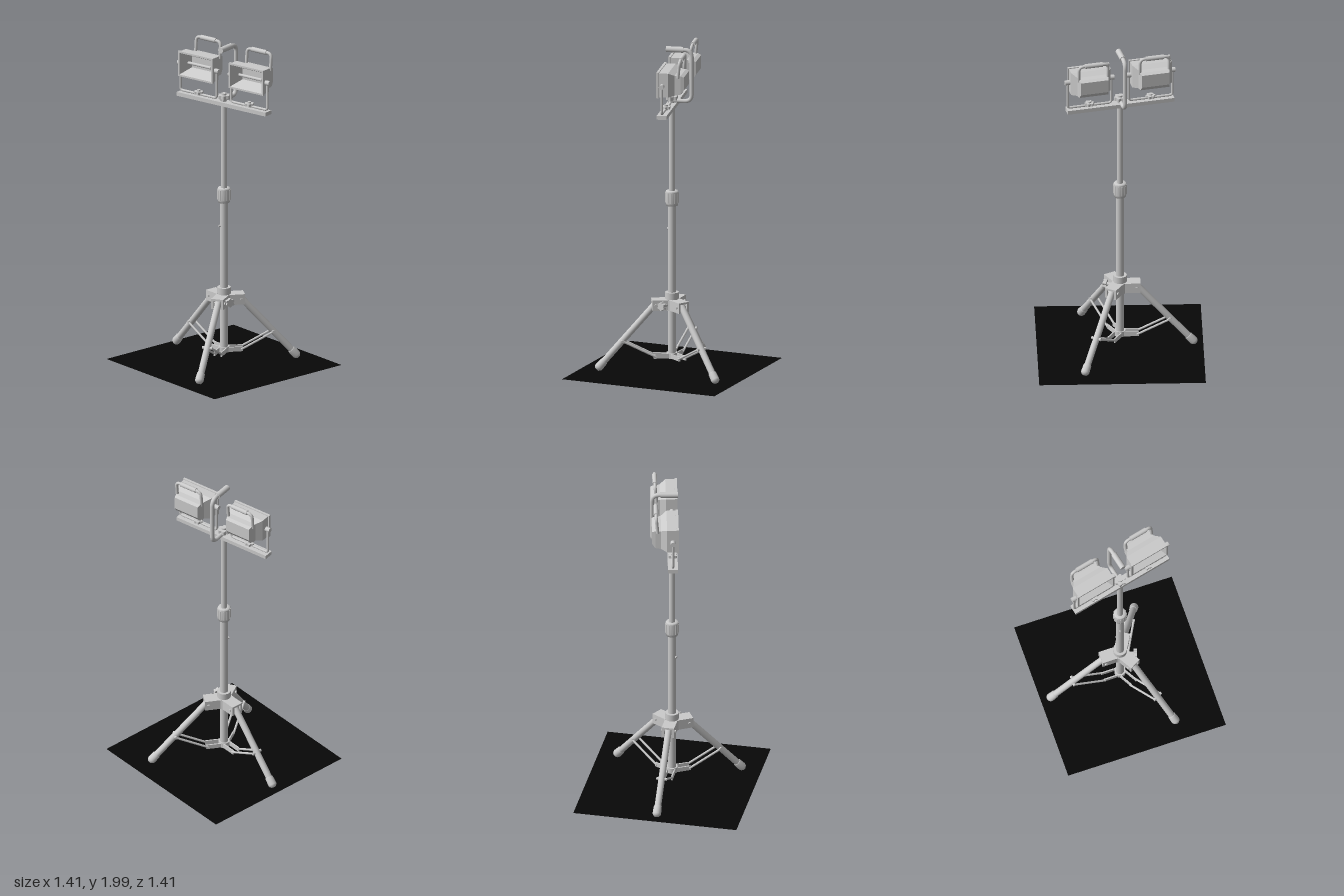
import * as THREE from 'three';

const grey = new THREE.MeshStandardMaterial({ color: 0xcccccc, side: THREE.DoubleSide });
const black = new THREE.MeshStandardMaterial({ color: 0x080808, side: THREE.DoubleSide });
const V = (x, y, z) => new THREE.Vector3(x, y, z);

function add(parent, name, geometry, x = 0, y = 0, z = 0, material = grey) {
  const mesh = new THREE.Mesh(geometry, material);
  mesh.name = name;
  mesh.position.set(x, y, z);
  parent.add(mesh);
  return mesh;
}

// Round rod between two points
function rod(parent, name, a, b, r, r2 = r, sides = 20) {
  const mesh = add(parent, name, new THREE.CylinderGeometry(r2, r, a.distanceTo(b), sides));
  mesh.position.copy(a).lerp(b, 0.5);
  mesh.quaternion.setFromUnitVectors(V(0, 1, 0), b.clone().sub(a).normalize());
  return mesh;
}

// Tube through points, with rounded corners
function bentTube(parent, name, pts, r, bend) {
  const path = new THREE.CurvePath();
  let last = pts[0];
  for (let i = 1; i < pts.length - 1; i++) {
    const p = pts[i];
    const a = p.clone().add(pts[i - 1].clone().sub(p).setLength(bend));
    const b = p.clone().add(pts[i + 1].clone().sub(p).setLength(bend));
    path.add(new THREE.LineCurve3(last, a));
    path.add(new THREE.QuadraticBezierCurve3(a, p, b));
    last = b;
  }
  path.add(new THREE.LineCurve3(last, pts[pts.length - 1]));
  return add(parent, name, new THREE.TubeGeometry(path, 72, r, 12));
}

// Flat-sided loft through rectangles given as [halfWidth, bottom, top, z]
function loft(sections) {
  const rings = sections.map(([w, b, t, z]) => [V(-w, b, z), V(w, b, z), V(w, t, z), V(-w, t, z)]);
  const tris = [];
  const quad = (a, b, c, d) => tris.push(a, b, c, a, c, d);
  for (let i = 0; i < rings.length - 1; i++)
    for (let j = 0; j < 4; j++) {
      const k = (j + 1) % 4;
      quad(rings[i][j], rings[i][k], rings[i + 1][k], rings[i + 1][j]);
    }
  quad(...[...rings[0]].reverse());
  quad(...rings[rings.length - 1]);
  const g = new THREE.BufferGeometry().setFromPoints(tris);
  g.computeVertexNormals();
  return g;
}

// Lobed hand knob, axis along y
function knobGeometry(r, h) {
  const s = new THREE.Shape();
  for (let i = 0; i < 48; i++) {
    const a = (i / 48) * Math.PI * 2, q = r * (0.87 + 0.13 * Math.cos(a * 6));
    i ? s.lineTo(q * Math.cos(a), q * Math.sin(a)) : s.moveTo(q, 0);
  }
  return new THREE.ExtrudeGeometry(s, { depth: h, bevelEnabled: false }).rotateX(-Math.PI / 2);
}

function makeLamp() {
  const lamp = new THREE.Group();
  lamp.name = 'floodlight';
  const head = new THREE.Group();
  head.name = 'lampHead';
  head.position.y = 1.838;
  lamp.add(head);
  // Housing with tapered rear and hollow reflector
  add(head, 'housing', loft([
    [0.085, -0.035, 0.045, -0.125], [0.09, -0.062, 0.054, -0.105], [0.093, -0.066, 0.056, -0.07],
    [0.122, -0.074, 0.074, -0.035], [0.122, -0.074, 0.074, 0.02], [0.128, -0.079, 0.079, 0.02],
    [0.128, -0.079, 0.079, 0.035], [0.117, -0.068, 0.068, 0.035], [0.08, -0.035, 0.035, -0.04]]));
  rod(head, 'bulb', V(-0.085, 0, -0.012), V(0.085, 0, -0.012), 0.009);
  // Carry handle with a thicker grip
  bentTube(head, 'lampHandle', [V(-0.09, 0.04, -0.09), V(-0.09, 0.144, -0.1), V(0.09, 0.144, -0.1), V(0.09, 0.04, -0.09)], 0.0095, 0.03);
  rod(head, 'lampGrip', V(-0.055, 0.144, -0.1), V(0.055, 0.144, -0.1), 0.0145);
  // Yoke, pivots and wing nut
  bentTube(lamp, 'yoke', [V(-0.135, 1.845, 0), V(-0.135, 1.662, 0), V(0.135, 1.662, 0), V(0.135, 1.845, 0)], 0.0075, 0.018);
  for (const s of [-1, 1]) rod(lamp, 'pivotKnob', V(s * 0.118, 1.832, 0), V(s * 0.152, 1.832, 0), 0.015);
  add(lamp, 'yokeNut', knobGeometry(0.03, 0.016), 0, 1.663, 0);
  rod(lamp, 'yokeBolt', V(0, 1.655, 0), V(0, 1.688, 0), 0.011);
  return lamp;
}

function makeLeg() {
  const leg = new THREE.Group();
  leg.name = 'leg';
  // Hub bracket: top plate and two cheeks
  add(leg, 'bracketTop', new THREE.BoxGeometry(0.1, 0.012, 0.076), 0.072, 0.435, 0);
  for (const s of [-1, 1]) {
    add(leg, 'bracketCheek', new THREE.BoxGeometry(0.1, 0.062, 0.014), 0.072, 0.408, s * 0.031);
    // Paired struts from the lower collar to the leg
    add(leg, 'collarLug', new THREE.BoxGeometry(0.09, 0.028, 0.008), 0.067, 0.092, s * 0.022);
    rod(leg, 'strut', V(0.1, 0.09, s * 0.025), V(0.298, 0.19, s * 0.025), 0.007, 0.007, 8);
  }
  rod(leg, 'strutPin', V(0.298, 0.19, -0.032), V(0.298, 0.19, 0.032), 0.009);
  rod(leg, 'hingePin', V(0.1, 0.41, -0.045), V(0.1, 0.41, 0.045), 0.009);
  const top = V(0.088, 0.425, 0), foot = V(0.442, 0.028, 0);
  rod(leg, 'legTube', top, foot, 0.02);
  // Rubber foot with rounded end
  const profile = [[0, -0.018], [0.014, -0.016], [0.023, -0.006], [0.026, 0.004], [0.024, 0.048], [0.02, 0.052]];
  const cap = add(leg, 'foot', new THREE.LatheGeometry(profile.map(p => new THREE.Vector2(...p)), 20));
  cap.position.copy(foot);
  cap.quaternion.setFromUnitVectors(V(0, 1, 0), top.clone().sub(foot).normalize());
  return leg;
}

export function createModel() {
  const model = new THREE.Group();
  model.name = 'tripodWorkLight';

  // Ground sheet
  const sheet = add(model, 'groundSheet', new THREE.PlaneGeometry(0.997, 0.997).rotateX(-Math.PI / 2), 0, 0.008, 0, black);
  sheet.rotation.y = THREE.MathUtils.degToRad(44);

  // Telescopic pole
  rod(model, 'lowerPole', V(0, 0.08, 0), V(0, 1.04, 0), 0.025);
  rod(model, 'upperPole', V(0, 1.04, 0), V(0, 1.64, 0), 0.019);
  const collar = [[0.025, 1.015], [0.036, 1.018], [0.036, 1.03], [0.04, 1.036], [0.04, 1.1], [0.035, 1.11], [0.019, 1.11]];
  add(model, 'poleCollar', new THREE.LatheGeometry(collar.map(p => new THREE.Vector2(...p)), 12));
  for (let i = 0; i < 12; i++) {
    const a = (i / 12) * Math.PI * 2;
    rod(model, 'collarRib', V(0.038 * Math.cos(a), 1.036, 0.038 * Math.sin(a)), V(0.038 * Math.cos(a), 1.098, 0.038 * Math.sin(a)), 0.004, 0.004, 6);
  }
  rod(model, 'poleButton', V(-0.02, 0.87, 0.01), V(-0.03, 0.87, 0.014), 0.007);

  // Hub, lower collar and lock knob
  rod(model, 'hub', V(0, 0.375, 0), V(0, 0.44, 0), 0.048);
  rod(model, 'hubCollar', V(0, 0.43, 0), V(0, 0.483, 0), 0.041);
  rod(model, 'lowerCollar', V(0, 0.076, 0), V(0, 0.11, 0), 0.034);
  const lock = new THREE.Group();
  lock.name = 'hubLock';
  lock.rotation.y = THREE.MathUtils.degToRad(-64);
  rod(lock, 'lockStem', V(0.04, 0.41, 0), V(0.09, 0.41, 0), 0.01);
  add(lock, 'lockKnob', knobGeometry(0.028, 0.022).rotateZ(-Math.PI / 2), 0.08, 0.41, 0);
  model.add(lock);

  // Three legs
  for (const deg of [106, 226, 346]) {
    const leg = makeLeg();
    leg.rotation.y = THREE.MathUtils.degToRad(-deg);
    model.add(leg);
  }

  // Light bar assembly, turned on the pole
  const lights = new THREE.Group();
  lights.name = 'lightBar';
  lights.rotation.y = THREE.MathUtils.degToRad(-33);
  add(lights, 'crossbar', new THREE.BoxGeometry(0.66, 0.024, 0.06), 0, 1.642, 0);
  for (const s of [-1, 1]) {
    const lamp = makeLamp();
    lamp.position.x = s * 0.189;
    lights.add(lamp);
  }
  // Central nut and hooked carry handle
  add(lights, 'centreNut', knobGeometry(0.038, 0.022), 0, 1.672, 0);
  rod(lights, 'centreBolt', V(0, 1.65, 0), V(0, 1.705, 0), 0.015);
  bentTube(lights, 'hookHandle', [V(0, 1.666, 0.02), V(0, 1.666, -0.12), V(0, 1.982, -0.12), V(0, 1.982, 0.03)], 0.013, 0.045);
  rod(lights, 'hookGrip', V(0, 1.982, -0.07), V(0, 1.982, 0.035), 0.018);
  model.add(lights);
  return model;
}
